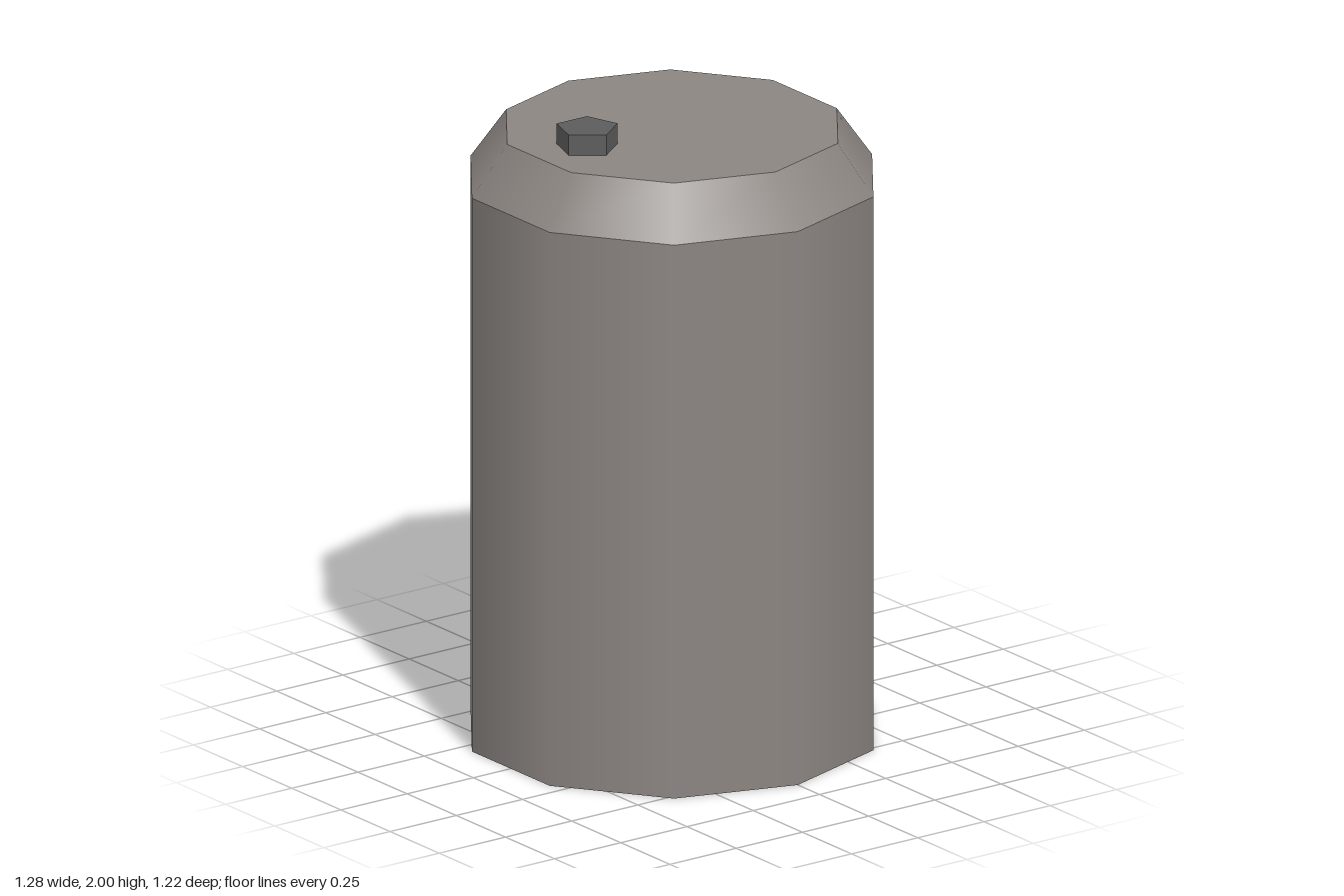
import * as THREE from 'three';

const SIDES = 10;
const RADIUS = 0.64, LID_RADIUS = 0.527;
const SHOULDER_Y = 1.775, LID_Y = 1.935, TOP_Y = 2;

export function createModel() {
  const model = new THREE.Group();
  model.name = 'canister';

  const shell = new THREE.MeshStandardMaterial({ color: 0x8b8581 });
  shell.name = 'warmGrey';
  const dark = new THREE.MeshStandardMaterial({ color: 0x5c5c5c });
  dark.name = 'darkGrey';

  const add = (name, geometry, material, x, y, z) => {
    const mesh = new THREE.Mesh(geometry, material);
    mesh.name = name;
    mesh.position.set(x, y, z);
    model.add(mesh);
  };

  // Open, smooth-sided ring with a corner on the +x axis
  const ring = (top, bottom, height) =>
    new THREE.CylinderGeometry(top, bottom, height, SIDES, 1, true, Math.PI / 2);
  // Flat end plate facing up (1) or down (-1)
  const plate = (radius, facing) =>
    new THREE.CircleGeometry(radius, SIDES).rotateX(-facing * Math.PI / 2);

  // Body, sloped shoulder and end plates
  add('body', ring(RADIUS, RADIUS, SHOULDER_Y), shell, 0, SHOULDER_Y / 2, 0);
  add('shoulder', ring(LID_RADIUS, RADIUS, LID_Y - SHOULDER_Y), shell, 0, (SHOULDER_Y + LID_Y) / 2, 0);
  add('lid', plate(LID_RADIUS, 1), shell, 0, LID_Y, 0);
  add('base', plate(RADIUS, -1), shell, 0, 0, 0);

  // Five-sided filler cap near the front of the lid
  const cap = new THREE.CylinderGeometry(0.097, 0.097, TOP_Y - LID_Y, 5, 1, false, Math.PI / 2).toNonIndexed();
  cap.computeVertexNormals();
  add('fillerCap', cap, dark, 0, (TOP_Y + LID_Y) / 2, 0.32);

  return model;
}
